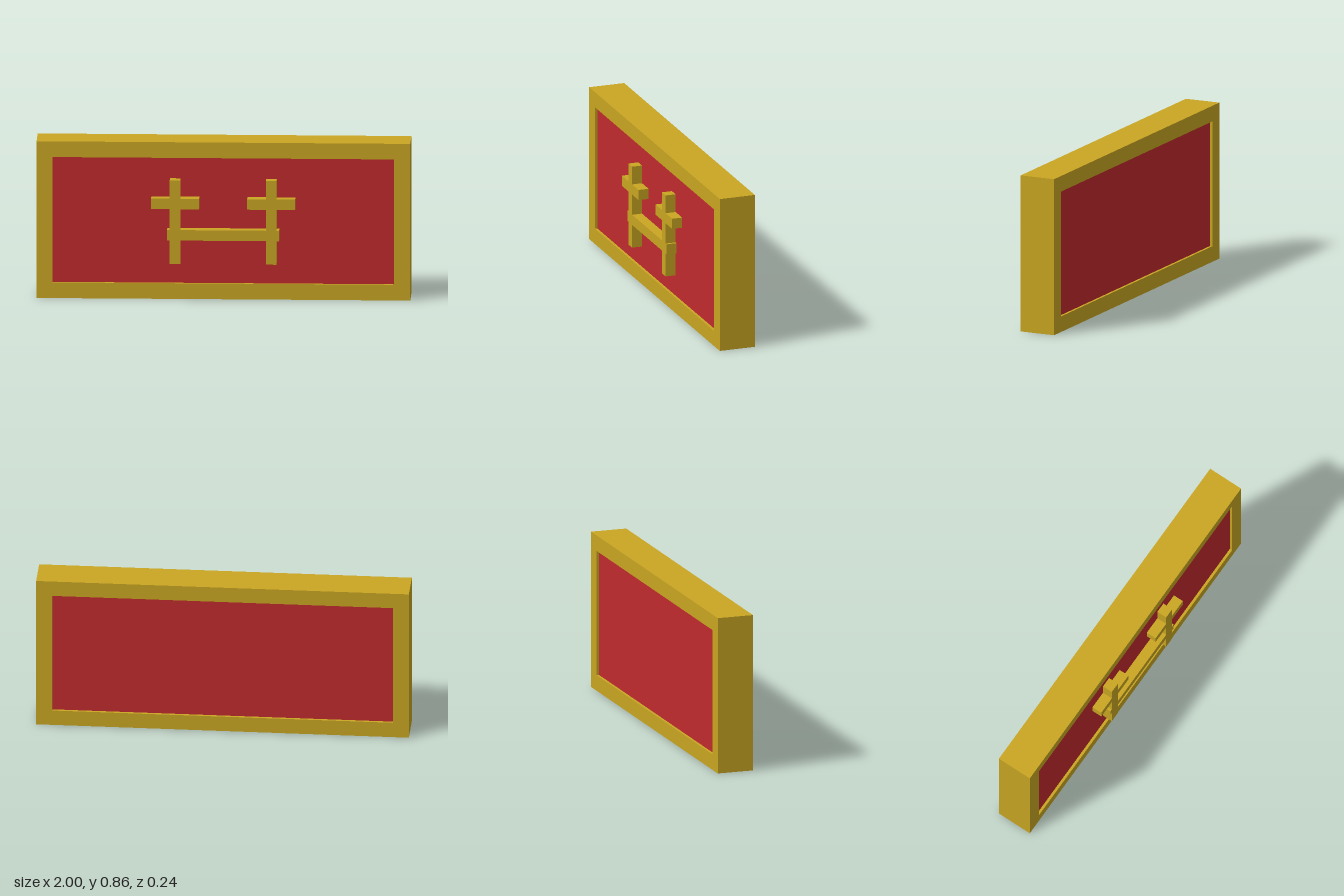
import * as THREE from 'three';

export function createModel() {
  const group = new THREE.Group();
  const gold = new THREE.MeshStandardMaterial({ color: 0xc9a622 });
  gold.name = 'gold';
  const red = new THREE.MeshStandardMaterial({ color: 0xc12b2d });
  red.name = 'red';

  const u = 1 / 35; // layout unit: the frame is 70 x 30 x 7 units
  const back = -4.25 * u, front = 2.75 * u, recess = 0.5 * u;

  // Box given by its centre x, y, its size and its z range
  function box(name, material, x, y, w, h, z0, z1) {
    const mesh = new THREE.Mesh(new THREE.BoxGeometry(w * u, h * u, z1 - z0), material);
    mesh.position.set(x * u, y * u, (z0 + z1) / 2);
    mesh.name = name;
    group.add(mesh);
  }

  // Frame: rectangle with a rectangular opening
  const rect = (Type, x, y0, y1) => new Type([
    new THREE.Vector2(-x * u, y0 * u), new THREE.Vector2(x * u, y0 * u),
    new THREE.Vector2(x * u, y1 * u), new THREE.Vector2(-x * u, y1 * u),
  ]);
  const outline = rect(THREE.Shape, 35, 0, 30);
  outline.holes.push(rect(THREE.Path, 32, 3, 27));
  const frameGeometry = new THREE.ExtrudeGeometry(outline, { depth: front - back, bevelEnabled: false });
  frameGeometry.translate(0, 0, back);
  const frame = new THREE.Mesh(frameGeometry, gold);
  frame.name = 'frame';
  group.add(frame);

  // Panel, recessed on both faces
  box('panel', red, 0, 15, 64, 24, back + recess, front - recess);

  // Raised emblem: two crosses joined by a rail
  const z0 = front - recess, z1 = 4.25 * u;
  for (const side of [-1, 1]) {
    const name = side > 0 ? 'left' : 'right';
    box(name + 'Post', gold, side * 9, 15, 2, 16, z0, z1);
    box(name + 'Crossbar', gold, side * 9, 18.5, 9, 2, z0, z1);
  }
  box('rail', gold, 0, 12.5, 21, 2, z0, z1);

  return group;
}
